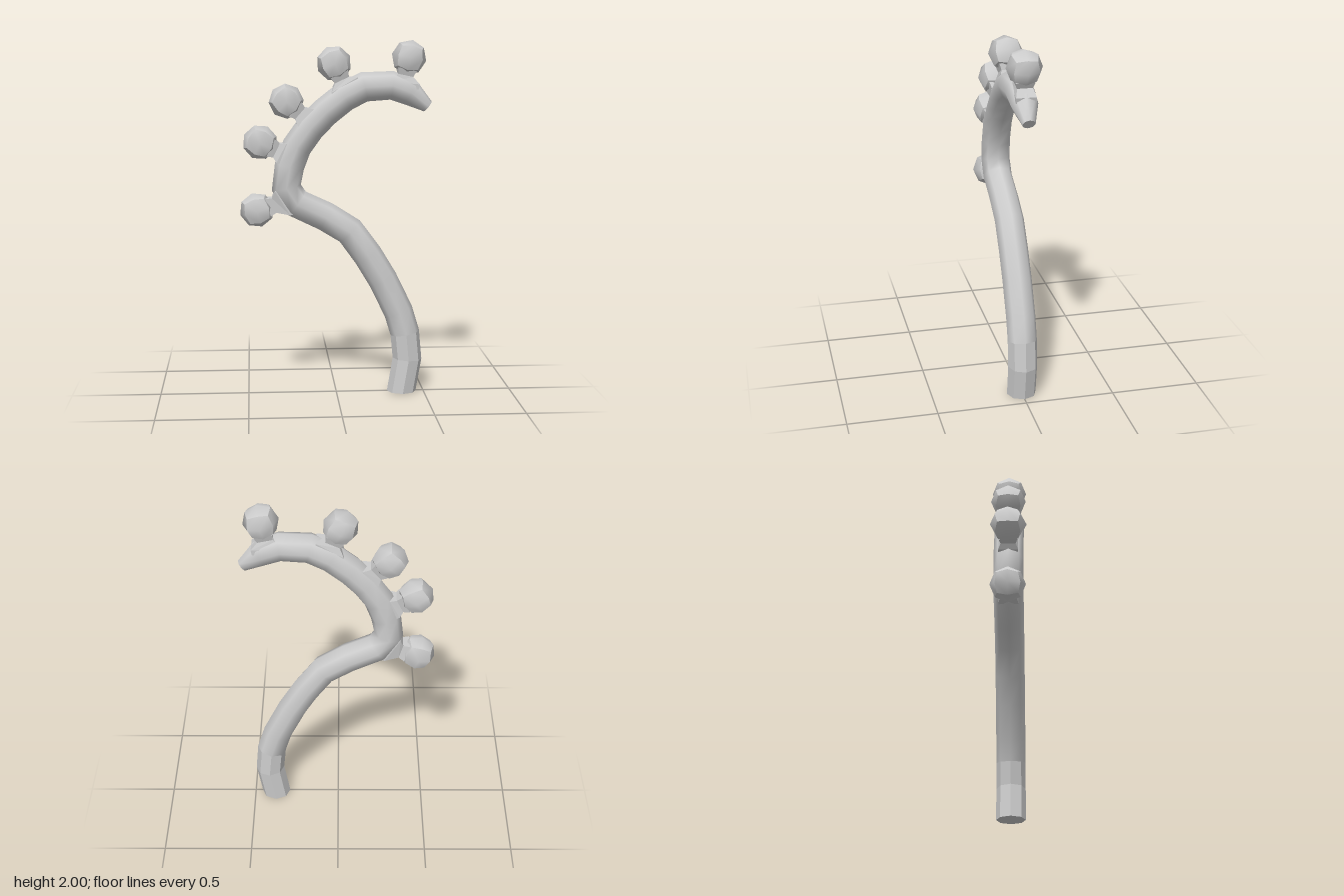
import * as THREE from 'three';

const grey = new THREE.MeshStandardMaterial({ color: 0xcccccc });
const greyFlat = new THREE.MeshStandardMaterial({ color: 0xcccccc, flatShading: true });

// Skin a list of equal-length rings; optional fans close the ends.
function loft(rings, capStart, capEnd) {
  const n = rings[0].length, pos = rings.flat(2), idx = [];
  for (let i = 0; i < rings.length - 1; i++) {
    for (let j = 0; j < n; j++) {
      const a = i * n + j, b = i * n + (j + 1) % n;
      idx.push(a, a + n, b, b, a + n, b + n);
    }
  }
  // End caps use their own vertices so the rim stays sharp
  const cap = (ring, flip) => {
    const s = pos.length / 3;
    pos.push(...ring.flat());
    for (let j = 1; j < n - 1; j++) idx.push(s, s + (flip ? j + 1 : j), s + (flip ? j : j + 1));
  };
  if (capStart) cap(rings[0], false);
  if (capEnd) cap(rings[rings.length - 1], true);
  const g = new THREE.BufferGeometry();
  g.setAttribute('position', new THREE.Float32BufferAttribute(pos, 3));
  g.setIndex(idx);
  g.computeVertexNormals();
  return g;
}

// Centre line of the stalk: x, y, radius
const R = 0.083;
const path = [
  [0.375, 0, R], [0.407, 0.19, R], [0.393, 0.34, R], [0.355, 0.465, R],
  [0.265, 0.65, R], [0.18, 0.79, R], [0.077, 0.93, R], [-0.06, 1.015, R],
  [-0.22, 1.09, R], [-0.28, 1.18, R], [-0.262, 1.3, R], [-0.22, 1.41, R],
  [-0.145, 1.515, R], [-0.062, 1.6, R], [0.045, 1.685, R], [0.155, 1.74, R],
  [0.31, 1.748, 0.08], [0.413, 1.708, 0.074], [0.513, 1.63, 0.035],
];

// Eight-sided ring square to the path
function stalkRing([x, y, r], i) {
  const a = path[Math.max(i - 1, 0)], b = path[Math.min(i + 1, path.length - 1)];
  const t = i === 0 ? new THREE.Vector2(0, 1) : new THREE.Vector2(b[0] - a[0], b[1] - a[1]).normalize();
  return Array.from({ length: 8 }, (_, k) => {
    const c = r * Math.cos(k * Math.PI / 4), s = r * Math.sin(k * Math.PI / 4);
    return [x + t.y * c, y - t.x * c, s];
  });
}

// Ball: a 2x2 cube pushed out to a sphere, smooth within each cube side
function ballGeometry(r) {
  const g = new THREE.BoxGeometry(1, 1, 1, 2, 2, 2);
  const p = g.attributes.position, v = new THREE.Vector3();
  for (let i = 0; i < p.count; i++) {
    v.fromBufferAttribute(p, i).setLength(r);
    p.setXYZ(i, v.x, v.y, v.z);
  }
  g.computeVertexNormals();
  return g;
}

// Buds: ball centre, then the two ends of the flared foot on the stalk
const buds = [
  { c: [0.405, 1.902], p: [0.29, 1.77], q: [0.46, 1.755] },
  { c: [-0.013, 1.87], p: [-0.03, 1.71], q: [0.115, 1.795] },
  { c: [-0.278, 1.662], p: [-0.21, 1.515], q: [-0.13, 1.62] },
  { c: [-0.425, 1.435], p: [-0.335, 1.325], q: [-0.28, 1.43] },
  { c: [-0.445, 1.055], p: [-0.26, 1.03], q: [-0.345, 1.165] },
];

function makeBud({ c, p, q }, ball) {
  const bud = new THREE.Group();
  bud.name = 'bud';
  const foot = new THREE.Vector2((p[0] + q[0]) / 2, (p[1] + q[1]) / 2);
  const centre = new THREE.Vector2(...c);
  const t = centre.clone().sub(foot).normalize();
  const quad = (a, b, h) => [[...b, -h], [...b, h], [...a, h], [...a, -h]];
  const square = (d, h) => {
    const m = centre.clone().addScaledVector(t, -d);
    return quad([m.x - t.y * h, m.y + t.x * h], [m.x + t.y * h, m.y - t.x * h], h);
  };
  // Sunk root, flared foot, narrow waist, then out into the ball
  const sink = ([x, y]) => [x - t.x * 0.03, y - t.y * 0.03];
  const neck = new THREE.Mesh(
    loft([quad(sink(p), sink(q), 0.055), quad(p, q, 0.055), square(0.1, 0.042), square(0.065, 0.052)], true, true), greyFlat);
  neck.name = 'budNeck';
  const head = new THREE.Mesh(ball, grey);
  head.name = 'budBall';
  head.position.set(c[0], c[1], 0);
  head.rotation.z = Math.atan2(-t.x, t.y);
  bud.add(neck, head);
  return bud;
}

export function createModel() {
  const model = new THREE.Group();
  model.name = 'buddedStalk';
  const rings = path.map(stalkRing);

  // Faceted lower end
  const foot = new THREE.Mesh(loft(rings.slice(0, 3), true, false), greyFlat);
  foot.name = 'stalkFoot';
  // Smooth curved stalk ending in a tapered tip
  const stalk = new THREE.Mesh(loft(rings.slice(2), false, true), grey);
  stalk.name = 'stalk';
  model.add(foot, stalk);

  const ball = ballGeometry(0.098);
  for (const b of buds) model.add(makeBud(b, ball));
  return model;
}
